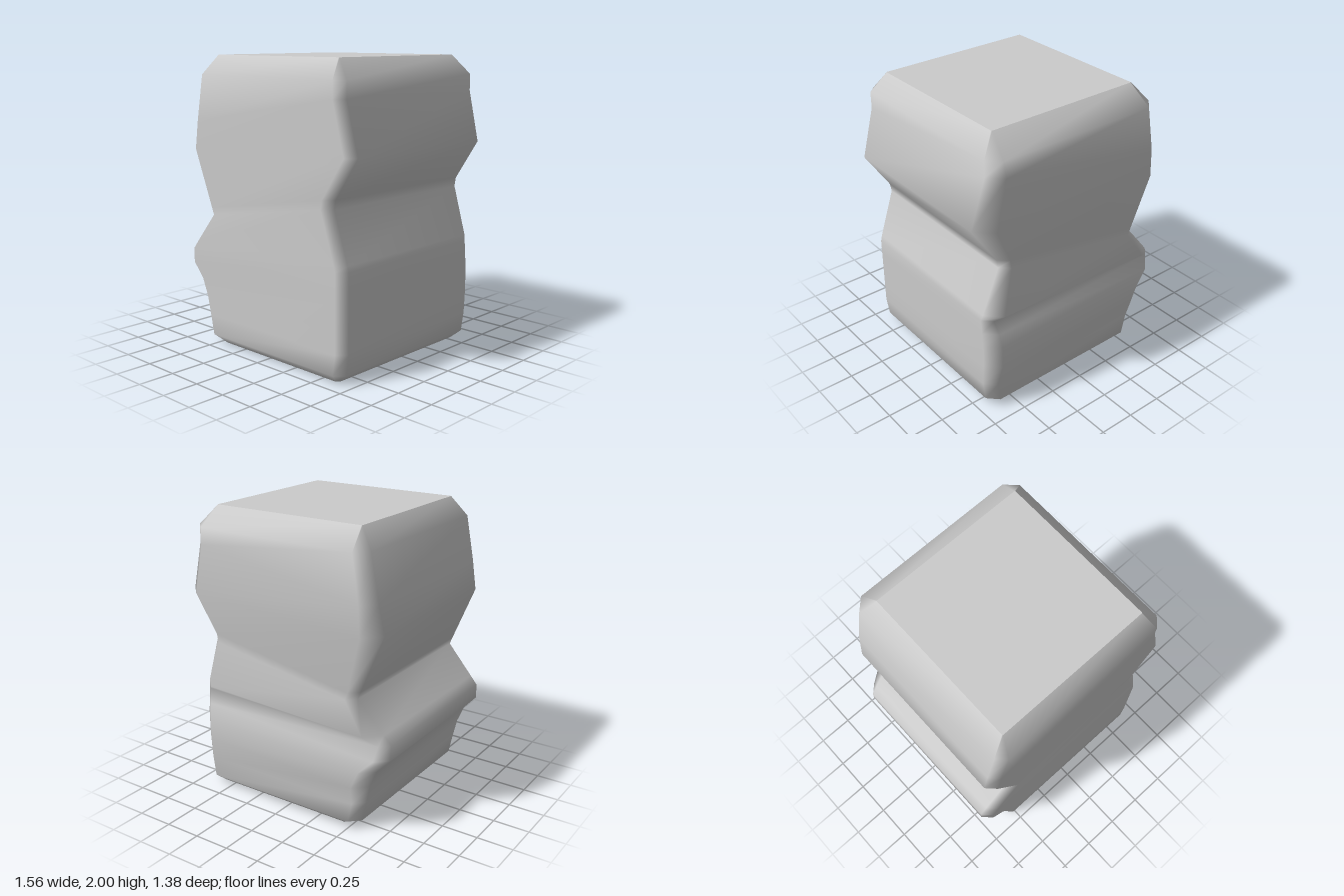
import * as THREE from 'three';

// Stacked tilted cross-sections:
// [left x, left y, right x, right y, back z, front z, front chamfer, back chamfer]
const ROWS = [
  [-0.47, 0.00, 0.62, 0.00, -0.57, 0.63, 0.02, 0.03],
  [-0.58, 0.06, 0.69, 0.06, -0.64, 0.69, 0.06, 0.07],
  [-0.61, 0.20, 0.71, 0.20, -0.64, 0.69, 0.06, 0.07],
  [-0.64, 0.33, 0.71, 0.36, -0.67, 0.69, 0.06, 0.09],
  [-0.69, 0.45, 0.71, 0.52, -0.67, 0.69, 0.06, 0.09],
  [-0.78, 0.55, 0.71, 0.62, -0.65, 0.69, 0.06, 0.08],
  [-0.78, 0.65, 0.71, 0.72, -0.62, 0.69, 0.06, 0.06],
  [-0.73, 0.71, 0.70, 0.76, -0.67, 0.69, 0.06, 0.10],
  [-0.55, 0.92, 0.59, 1.09, -0.65, 0.69, 0.06, 0.06],
  [-0.57, 0.97, 0.60, 1.15, -0.65, 0.69, 0.06, 0.06],
  [-0.73, 1.36, 0.78, 1.42, -0.69, 0.69, 0.06, 0.11],
  [-0.70, 1.56, 0.69, 1.76, -0.69, 0.69, 0.06, 0.09],
  [-0.64, 1.87, 0.69, 1.87, -0.68, 0.69, 0.06, 0.08],
  [-0.535, 2.00, 0.585, 2.00, -0.535, 0.585, 0.005, 0.005],
];

// Chamfered rectangle, counter-clockwise seen from above
function ring([xl, yl, xr, yr, zb, zf, c, d]) {
  return [
    [xl + c, yl, zf], [xr - c, yr, zf], [xr, yr, zf - c], [xr, yr, zb + d],
    [xr - d, yr, zb], [xl + d, yl, zb], [xl, yl, zb + d], [xl, yl, zf - c],
  ];
}

function makeGeometry(points, index) {
  const geometry = new THREE.BufferGeometry();
  geometry.setAttribute('position', new THREE.Float32BufferAttribute(points.flat(), 3));
  geometry.setIndex(index);
  geometry.computeVertexNormals();
  return geometry;
}

export function createModel() {
  const group = new THREE.Group();
  group.name = 'rockPillar';
  const material = new THREE.MeshStandardMaterial({ color: 0xcccccc });
  const add = (name, geometry) => {
    const mesh = new THREE.Mesh(geometry, material);
    mesh.name = name;
    group.add(mesh);
  };

  // Sides, smooth across the narrow chamfers
  const rings = ROWS.map(ring);
  const n = 8;
  const sides = [];
  for (let i = 0; i < rings.length - 1; i++) {
    for (let j = 0; j < n; j++) {
      const a = i * n + j, b = i * n + (j + 1) % n;
      sides.push(a, b, b + n, a, b + n, a + n);
    }
  }
  add('pillarSides', makeGeometry(rings.flat(), sides));

  // Flat top and base
  const top = [], base = [];
  for (let j = 1; j < n - 1; j++) {
    top.push(0, j, j + 1);
    base.push(0, j + 1, j);
  }
  add('pillarTop', makeGeometry(rings[rings.length - 1], top));
  add('pillarBase', makeGeometry(rings[0], base));
  return group;
}
